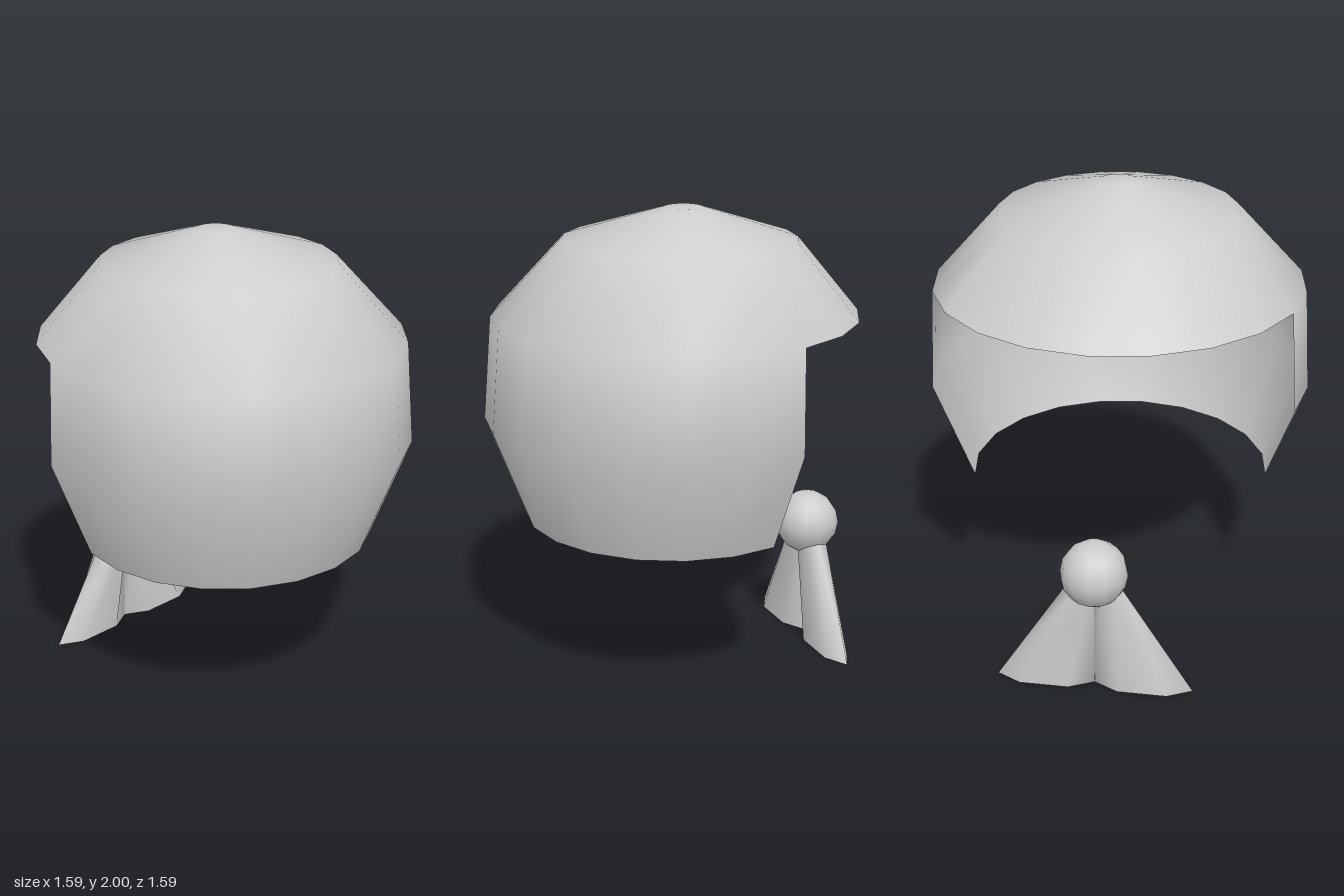
import * as THREE from 'three';

const cloth = new THREE.MeshStandardMaterial({ color: 0xcccccc, side: THREE.DoubleSide });
cloth.name = 'grey cloth';

// Smooth skin between closed rings listed bottom to top; keep(band, column) can leave faces out.
function loft(rings, keep = () => true) {
  const n = rings[0].length;
  const index = [];
  for (let j = 0; j < rings.length - 1; j++) {
    for (let i = 0; i < n; i++) {
      if (!keep(j, i)) continue;
      const a = j * n + i, b = j * n + (i + 1) % n;
      index.push(a, b, b + n, a, b + n, a + n);
    }
  }
  const geometry = new THREE.BufferGeometry();
  geometry.setAttribute('position', new THREE.Float32BufferAttribute(rings.flat(2), 3));
  geometry.setIndex(index);
  geometry.computeVertexNormals();
  return geometry;
}

function addMesh(group, name, geometry) {
  const mesh = new THREE.Mesh(geometry, cloth);
  mesh.name = name;
  group.add(mesh);
  return mesh;
}

// Head covering: each ring is [height, radius, z of centre]
function makeCovering() {
  const sides = 20;
  const profile = [
    [0.69, 0.632, 0], [1.12, 0.796, 0], [1.555, 0.773, -0.013],
    [1.87, 0.496, -0.032], [2, 0.08, -0.05], [2, 0, -0.05],
  ];
  const rings = profile.map(([y, r, cz]) => Array.from({ length: sides }, (_, i) => {
    const a = i / sides * Math.PI * 2;
    return [r * Math.sin(a), y, cz + r * Math.cos(a)];
  }));
  // The lower two bands are open at the back
  return loft(rings, (band, i) => band >= 2 || i < 6 || i >= 14);
}

// Tail: flattened six-sided cone with a slanted upper end; side is +1 or -1
function makeTailRings(side) {
  const ring = (cx, rx, y, slant) => Array.from({ length: 6 }, (_, k) => {
    const a = k * Math.PI / 3;
    return [side * cx + rx * Math.cos(a), y + slant * side * Math.cos(a),
      -0.657 - 0.064 * Math.sin(a)];
  });
  return [ring(0.207, 0.207, 0, 0), ring(0.06, 0.06, 0.425, 0.035)];
}

export function createModel() {
  const model = new THREE.Group();
  model.name = 'headscarf';
  addMesh(model, 'headCovering', makeCovering());

  // Knot and its two hanging ends
  const knot = addMesh(model, 'knot', new THREE.SphereGeometry(0.141, 12, 8));
  knot.position.set(0, 0.533, -0.657);
  for (const side of [1, -1]) {
    const name = side > 0 ? 'leftTail' : 'rightTail';
    const rings = makeTailRings(side);
    addMesh(model, name, loft(rings));
    const centre = rings[0].map(() => [side * 0.207, 0, -0.657]);
    addMesh(model, name + 'End', loft([centre, rings[0]]));
  }
  return model;
}
